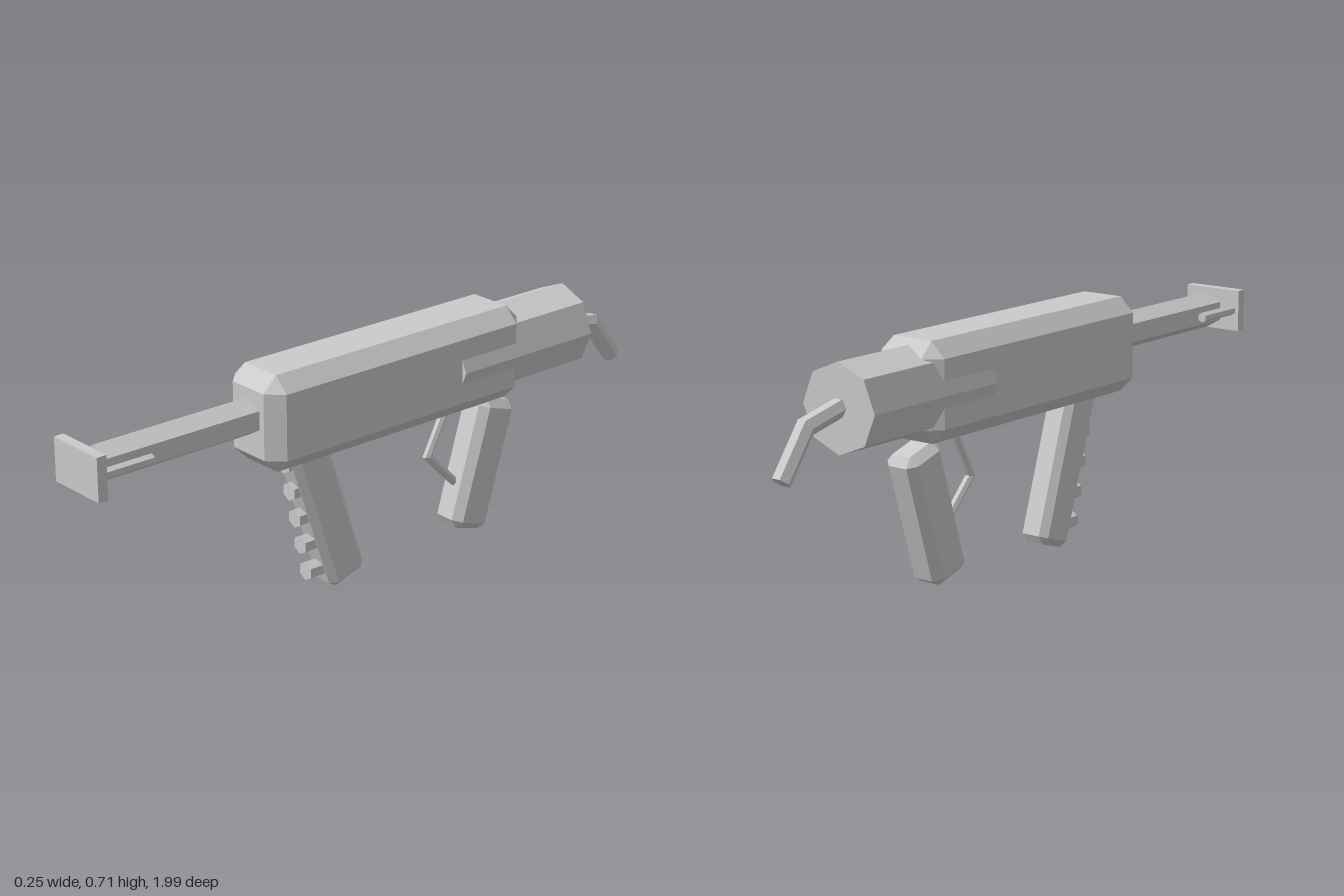
import * as THREE from 'three';
import { ConvexGeometry } from 'three/addons/geometries/ConvexGeometry.js';

const material = new THREE.MeshStandardMaterial({ color: 0xcccccc, flatShading: true });

// Box with every edge and corner cut off by c
function chamferBox(w, h, d, c) {
  const points = [];
  for (const x of [-w / 2, w / 2]) {
    for (const y of [-h / 2, h / 2]) {
      for (const z of [-d / 2, d / 2]) {
        const cx = Math.sign(x) * c, cy = Math.sign(y) * c, cz = Math.sign(z) * c;
        points.push(
          new THREE.Vector3(x, y - cy, z - cz),
          new THREE.Vector3(x - cx, y, z - cz),
          new THREE.Vector3(x - cx, y - cy, z));
      }
    }
  }
  return new ConvexGeometry(points);
}

// Prism lying along z, with a corner pointing up
function prismZ(r, length, sides) {
  return new THREE.CylinderGeometry(r, r, length, sides).rotateX(Math.PI / 2);
}

// Mitred bar that follows [y, z] points in the middle plane
function bentBar(path, r, sides) {
  const pts = path.map(([y, z]) => new THREE.Vector2(y, z));
  const pos = [], index = [];
  pts.forEach((p, i) => {
    const before = p.clone().sub(pts[Math.max(i - 1, 0)]).normalize();
    const after = pts[Math.min(i + 1, pts.length - 1)].clone().sub(p).normalize();
    const t = before.clone().add(after).normalize();
    const stretch = 1 / t.dot(i ? before : after);
    for (let j = 0; j < sides; j++) {
      const a = (j / sides) * Math.PI * 2, n = Math.sin(a) * r * stretch;
      pos.push(Math.cos(a) * r, p.x + t.y * n, p.y - t.x * n);
    }
  });
  const last = (pts.length - 1) * sides;
  for (let j = 0; j < sides; j++) {
    const k = (j + 1) % sides;
    for (let o = 0; o < last; o += sides) {
      index.push(o + j, o + k, o + sides + k, o + j, o + sides + k, o + sides + j);
    }
    if (j > 0 && j < sides - 1) {
      index.push(0, k, j, last, last + j, last + k);
    }
  }
  const g = new THREE.BufferGeometry();
  g.setAttribute('position', new THREE.Float32BufferAttribute(pos, 3));
  g.setIndex(index);
  const flat = g.toNonIndexed();
  flat.computeVertexNormals();
  return flat;
}

export function createModel() {
  const model = new THREE.Group();
  model.name = 'handheldTool';

  const add = (name, geometry, x, y, z, tilt = 0) => {
    const mesh = new THREE.Mesh(geometry, material);
    mesh.name = name;
    mesh.position.set(x, y, z);
    mesh.rotation.x = THREE.MathUtils.degToRad(tilt);
    model.add(mesh);
    return mesh;
  };

  // Main housing and the eight-sided rear drum
  add('body', chamferBox(0.22, 0.281, 0.94, 0.044), 0, 0.5675, -0.034);
  add('rearDrum', prismZ(0.125, 0.505, 8), 0, 0.567, -0.5035);

  // Barrel, end plate and the two rods behind the plate
  add('barrel', prismZ(0.055, 0.56, 6), 0, 0.583, 0.66);
  add('endPlate', new THREE.BoxGeometry(0.19, 0.126, 0.03), 0, 0.583, 0.985);
  for (const side of [-1, 1]) {
    add(side > 0 ? 'leftRod' : 'rightRod', prismZ(0.0155, 0.17, 6), side * 0.069, 0.583, 0.895);
  }

  // Front grip with a column of hexagonal studs
  add('frontGrip', chamferBox(0.094, 0.5, 0.13, 0.02), 0, 0.249, 0.188, 18);
  for (let i = 0; i < 5; i++) {
    add('gripStud', prismZ(0.028, 0.1, 6), 0, 0.059 + i * 0.087, 0.193 + i * 0.0187);
  }

  // Rear grip and trigger
  add('rearGrip', chamferBox(0.11, 0.4, 0.14, 0.024), 0, 0.217, -0.409, -17);
  add('trigger', bentBar([[0.41, -0.286], [0.283, -0.22], [0.17, -0.33]], 0.013, 6), 0, 0, 0);

  // Bent tube leaving the back of the drum
  add('tailTube', bentBar([[0.573, -0.74], [0.541, -0.882], [0.413, -0.976]], 0.027, 6), 0, 0, 0);

  return model;
}
